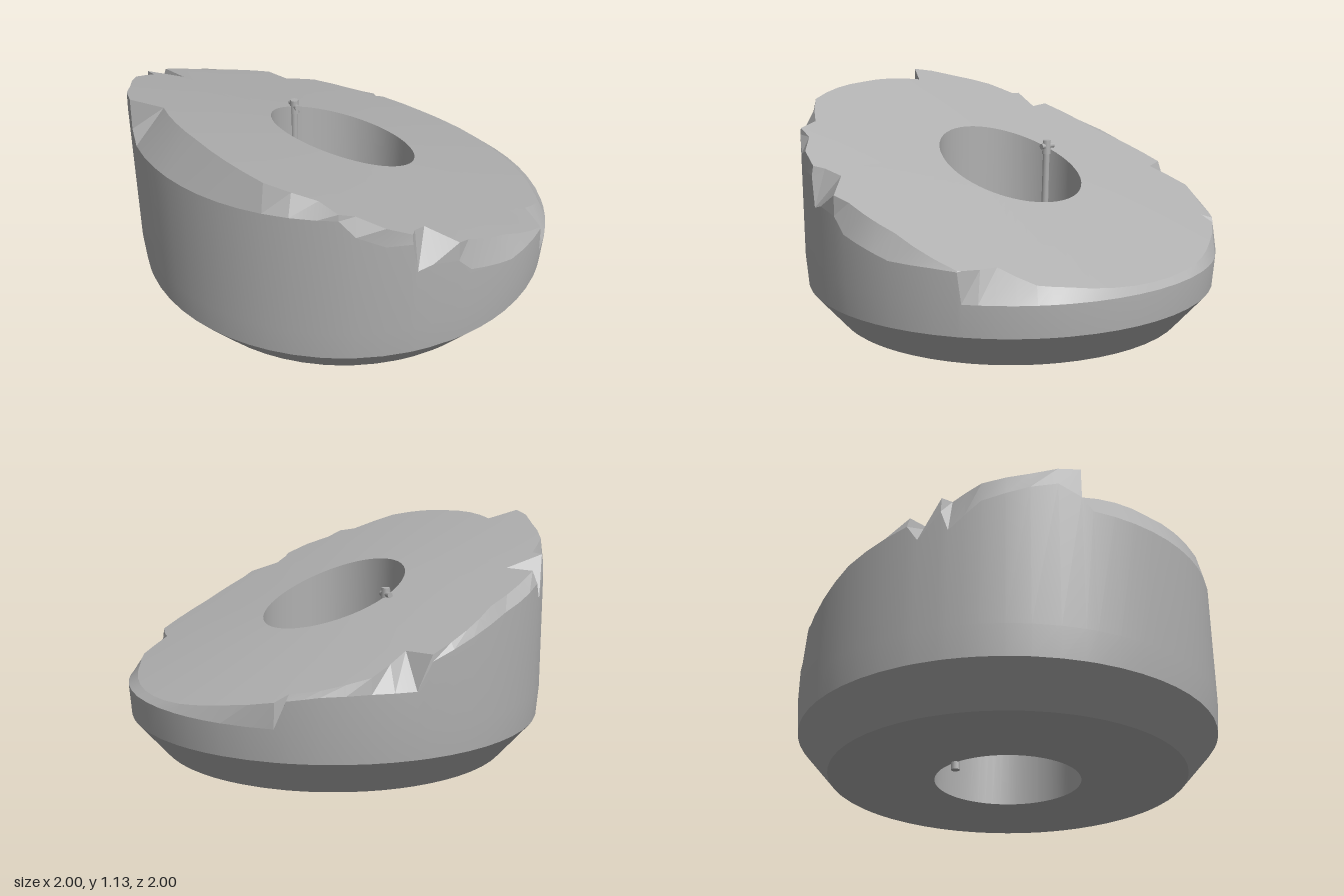
import * as THREE from 'three';
import { toCreasedNormals } from 'three/addons/utils/BufferGeometryUtils.js';

const HOLE_R = 0.345;
const BASE_Y = 0.035;

// Chipped rim: [angle in degrees from +x towards +z, radius of the top edge, height of the wall]
const RIM = [
  [0, 0.97, 0.35], [20, 0.96, 0.35], [45, 0.95, 0.35], [53, 0.96, 0.35], [63, 0.895, 0.35], [71, 0.985, 0.35],
  [72, 0.995, 0.49], [90, 0.945, 0.5], [105, 0.965, 0.57], [109, 0.995, 0.64], [116, 0.895, 0.66], [120, 0.945, 0.64],
  [121.5, 0.99, 0.78], [128, 0.995, 0.785], [135, 0.96, 0.84], [139, 0.995, 0.92], [144, 0.93, 0.92], [157, 0.968, 0.92],
  [180, 0.895, 0.92], [204, 0.86, 0.92], [207, 0.995, 0.98], [213, 0.995, 1.03], [220, 0.98, 1], [232, 0.985, 0.93],
  [240, 0.945, 0.8], [242, 0.99, 0.9], [248, 0.845, 0.78], [251, 0.975, 0.86], [270, 0.92, 0.78], [293, 0.995, 0.62],
  [297, 0.877, 0.5], [308, 0.985, 0.5], [320, 0.97, 0.49], [328, 0.943, 0.47], [331, 0.99, 0.35], [345, 0.97, 0.35],
];

// Height of the slanted, slightly bowed top
const topHeight = (x, z) => 0.755 - 0.38 * x - 0.1 * z - 0.06 * z * z;

// Rim entries with extra steps in between so that the outline stays round
function rimStations() {
  const out = [];
  RIM.forEach((a, i) => {
    const b = i + 1 < RIM.length ? RIM[i + 1] : [360, RIM[0][1], RIM[0][2]];
    const n = Math.ceil((b[0] - a[0]) / 7);
    for (let k = 0; k < n; k++) {
      const [deg, r, y] = a.map((v, j) => THREE.MathUtils.lerp(v, b[j], k / n));
      out.push({ t: THREE.MathUtils.degToRad(deg), r, y });
    }
  });
  return out;
}

// Joins closed rings of points into a surface
function loft(rings, crease) {
  const n = rings[0].length;
  const index = [];
  for (let j = 0; j + 1 < rings.length; j++) {
    for (let i = 0; i < n; i++) {
      const k = (i + 1) % n;
      const a = j * n + i, b = a + n, c = j * n + k, d = c + n;
      index.push(a, b, c, c, b, d);
    }
  }
  const geo = new THREE.BufferGeometry();
  geo.setAttribute('position', new THREE.Float32BufferAttribute(rings.flat(2), 3));
  geo.setIndex(index);
  return toCreasedNormals(geo, crease);
}

export function createModel() {
  const group = new THREE.Group();
  const grey = new THREE.MeshStandardMaterial({ color: 0xb0b0b0 });
  grey.name = 'plain grey';

  const add = (name, geo) => {
    const mesh = new THREE.Mesh(geo, grey);
    mesh.name = name;
    group.add(mesh);
    return mesh;
  };

  const stations = rimStations();
  const point = (t, r, y) => [r * Math.cos(t), y, r * Math.sin(t)];
  const flatRing = (r, y) => stations.map(({ t }) => point(t, r, y));
  const topPoint = (t, r) => point(t, r, topHeight(r * Math.cos(t), r * Math.sin(t)));
  const topRing = (r) => stations.map(({ t }) => topPoint(t, r));

  const shoulder = stations.map(({ t, r }) => topPoint(t, r));
  const wallTop = stations.map(({ t, y }, i) => point(t, 0.998, Math.min(y, shoulder[i][1] - 0.005)));

  // Ring body, from the underside up the outside, over the top and down the hole
  add('underside', loft([flatRing(HOLE_R, BASE_Y), flatRing(0.84, BASE_Y)], 0.5));
  add('lowerChamfer', loft([flatRing(0.84, BASE_Y), flatRing(0.987, 0.205)], 0.5));
  add('outerWall', loft([flatRing(0.987, 0.205), flatRing(0.998, 0.345), wallTop], 0.5));
  add('chippedRim', loft([wallTop, shoulder], 0.2));
  add('slantedTop', loft([shoulder, topRing(0.68), topRing(HOLE_R)], 0.5));
  add('holeWall', loft([topRing(HOLE_R), flatRing(HOLE_R, BASE_Y)], 0.5));

  // Thin pin standing against the back of the hole
  const pin = add('pin', new THREE.CylinderGeometry(0.018, 0.02, 0.76, 10));
  pin.position.set(0.002, 0.38, -0.342);
  pin.rotation.z = -0.025;

  // Small knob with a cross bar on the pin
  const knob = add('pinKnob', new THREE.CylinderGeometry(0.02, 0.024, 0.07, 8));
  knob.position.set(0.012, 0.78, -0.342);
  const bar = add('pinCrossBar', new THREE.CylinderGeometry(0.014, 0.014, 0.08, 8));
  bar.position.set(0.014, 0.785, -0.345);
  bar.rotation.set(Math.PI / 2, 0, 0.35);

  return group;
}
